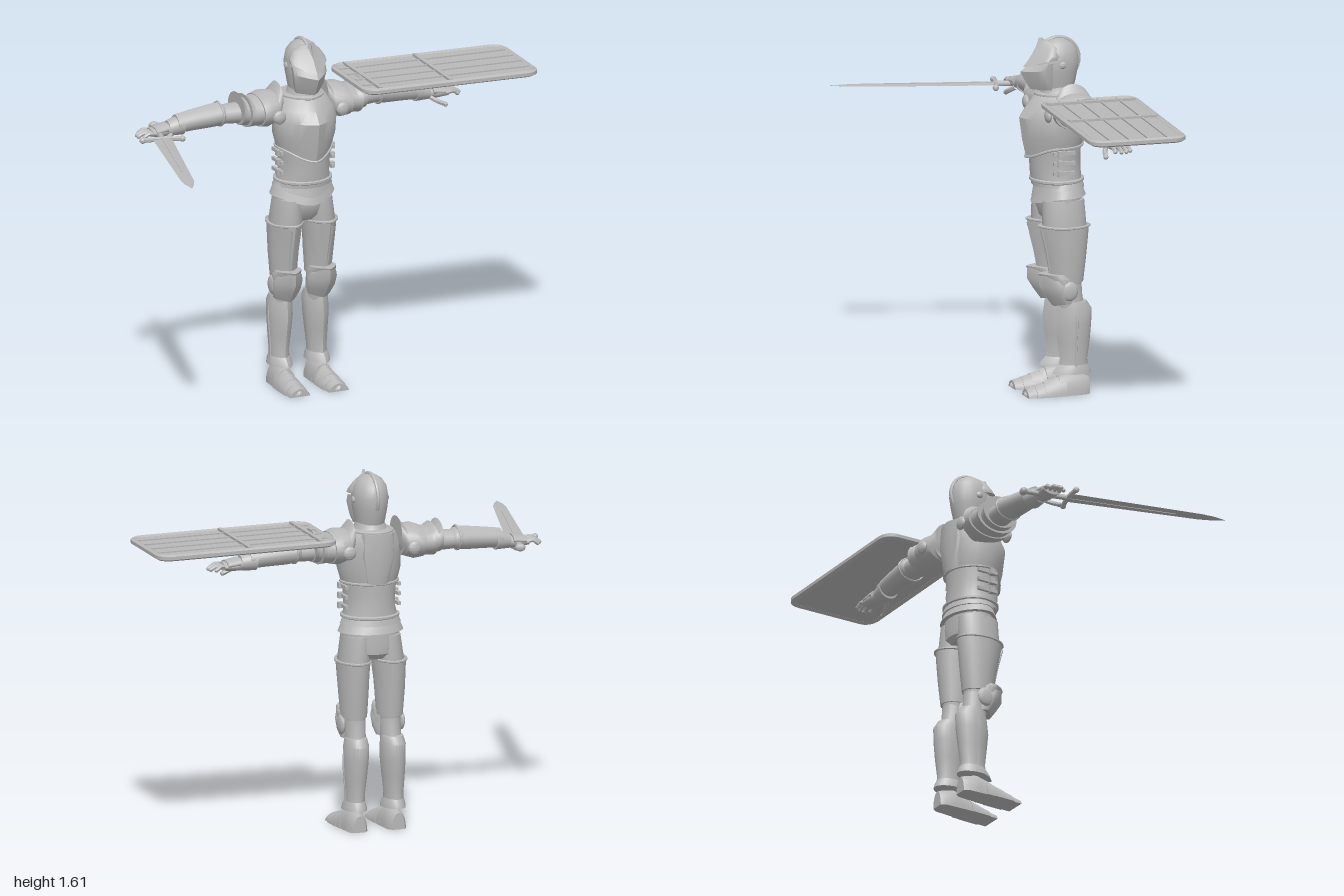
import * as THREE from 'three';
import { toCreasedNormals } from 'three/addons/utils/BufferGeometryUtils.js';

const steel = new THREE.MeshStandardMaterial({ color: 0xb8b8b8 });
steel.name = 'steel';

// One cross-section. Row: [t, centre, half width, front, back, keel, dip].
// t runs along the axis; dip moves the middle of the front along it.
function ring(axis, [t, c, h, f, b, keel = 0, dip = 0], n = 24, flat = false) {
  const mid = flat ? b : (f + b) / 2, pts = [];
  for (let i = 0; i < n; i++) {
    const a = (i / n) * Math.PI * 2, cs = Math.cos(a), sn = Math.sin(a);
    const s = sn > 0 ? THREE.MathUtils.lerp(sn, 1 - Math.abs(cs), keel) : sn;
    const u = c + h * cs, v = mid + (sn > 0 ? (f - mid) * s : (mid - b) * s);
    const w = t - dip * Math.max(0, sn) ** 3;
    pts.push(axis === 'y' ? new THREE.Vector3(u, w, v)
      : axis === 'z' ? new THREE.Vector3(u, v, w) : new THREE.Vector3(w, v, u));
  }
  return pts;
}

// Closed skin over a list of cross-sections, always facing outwards
function loft(axis, rows, n = 24, flat = false) {
  const rings = rows.map(r => ring(axis, r, n, flat)), all = rings.flat(), idx = [];
  for (let k = 0; k < rings.length - 1; k++)
    for (let i = 0; i < n; i++) {
      const a = k * n + i, b = k * n + (i + 1) % n;
      idx.push(a, b, a + n, b, b + n, a + n);
    }
  [0, rings.length - 1].forEach((k, end) => {
    const m = rings[k].reduce((s, p) => s.add(p), new THREE.Vector3()).divideScalar(n);
    const c = all.push(m) - 1;
    for (let i = 0; i < n; i++) {
      const a = k * n + i, b = k * n + (i + 1) % n;
      idx.push(c, ...(end ? [a, b] : [b, a]));
    }
  });
  let vol = 0;
  for (let i = 0; i < idx.length; i += 3)
    vol += all[idx[i]].dot(all[idx[i + 1]].clone().cross(all[idx[i + 2]]));
  if (vol < 0) idx.reverse();
  return new THREE.BufferGeometry().setFromPoints(all).setIndex(idx);
}

const tube = (pts, r, closed = false, seg = 24) =>
  new THREE.TubeGeometry(new THREE.CatmullRomCurve3(pts, closed), seg, r, 6, closed);
const rim = (axis, row, r = 0.006) => tube(ring(axis, row), r, true, 48);
const box = (w, h, d, x, y, z) => new THREE.BoxGeometry(w, h, d).translate(x, y, z);
const ball = (r, x, y, z, sx = 1, sy = 1, sz = 1) =>
  new THREE.SphereGeometry(r, 16, 12).scale(sx, sy, sz).translate(x, y, z);
const V = (x, y, z) => new THREE.Vector3(x, y, z);

function add(group, name, geo) {
  const mesh = new THREE.Mesh(toCreasedNormals(geo, 0.6), steel);
  mesh.name = name;
  group.add(mesh);
}

// Adds a part on the left (+x) and its reflection on the right
function pair(group, name, geo) {
  add(group, 'left ' + name, geo);
  const m = geo.index ? geo.toNonIndexed() : geo.clone(), p = m.attributes.position;
  for (let i = 0; i < p.count; i += 3) {
    const b = V().fromBufferAttribute(p, i + 1), c = V().fromBufferAttribute(p, i + 2);
    p.setXYZ(i + 1, c.x, c.y, c.z);
    p.setXYZ(i + 2, b.x, b.y, b.z);
  }
  add(group, 'right ' + name, m.scale(-1, 1, 1));
}

function buildHelmet(g) {
  add(g, 'helmetSkull', loft('y', [[1.36, 0, .06, -.17, -.31], [1.40, 0, .067, -.15, -.325],
    [1.45, 0, .076, -.14, -.335], [1.50, 0, .081, -.14, -.342], [1.55, 0, .072, -.155, -.332],
    [1.58, 0, .053, -.18, -.308], [1.597, 0, .027, -.21, -.275], [1.602, 0, .003, -.24, -.246]]));
  add(g, 'helmetComb', new THREE.TorusGeometry(.1, .009, 8, 28, Math.PI * 1.15)
    .rotateZ(-.5).rotateY(Math.PI / 2).translate(0, 1.503, -.245));
  // pointed lower visor, then the brow overhanging it
  add(g, 'visor', loft('y', [[1.375, 0, .058, -.118, -.25, .9], [1.41, 0, .07, -.095, -.25, .9],
    [1.468, 0, .08, -.072, -.25, .9, .01], [1.50, 0, .08, -.10, -.25, .9, .02]]));
  add(g, 'visorBrow', loft('y', [[1.512, 0, .086, -.083, -.27, .8, .035],
    [1.53, 0, .085, -.11, -.27, .8, .02], [1.565, 0, .064, -.148, -.26, .8, 0],
    [1.59, 0, .03, -.165, -.24, .8, -.005]]));
  add(g, 'visorPeak', loft('y', [[1.53, 0, .02, -.125, -.19, 1], [1.575, 0, .014, -.148, -.19, 1],
    [1.606, 0, .004, -.158, -.175, 1]], 12));
  pair(g, 'visorPivot', ball(.016, .08, 1.49, -.245, .5));
  add(g, 'gorget', loft('y', [[1.32, 0, .1, -.15, -.35], [1.36, 0, .072, -.165, -.325],
    [1.39, 0, .064, -.165, -.315]]));
}

function buildTorso(g) {
  add(g, 'breastplate', loft('y', [[1.12, 0, .128, -.098, -.352, .35, .05],
    [1.18, 0, .145, -.08, -.364, .35, .03], [1.25, 0, .147, -.066, -.368, .35],
    [1.30, 0, .14, -.10, -.37, .3], [1.345, 0, .108, -.138, -.365, .2], [1.36, 0, .075, -.165, -.35]]));
  add(g, 'breastplateHem', rim('y', [1.12, 0, .13, -.096, -.354, .35, .05]));
  add(g, 'neckRim', rim('y', [1.352, 0, .092, -.145, -.36, .2], .008));
  add(g, 'backPanel', loft('y', [[1.12, 0, .055, -.3, -.362], [1.25, 0, .08, -.3, -.378],
    [1.35, 0, .075, -.3, -.372]], 12));
  add(g, 'waistPlate', loft('y', [[.94, 0, .128, -.13, -.352], [1.0, 0, .116, -.122, -.348],
    [1.06, 0, .117, -.118, -.346], [1.14, 0, .126, -.11, -.35]]));
  // buckled side straps
  for (const y of [1.10, 1.055, 1.01]) {
    pair(g, 'sideStrap', box(.014, .016, .1, .125, y, -.235));
    pair(g, 'strapBuckle', box(.022, .026, .024, .131, y, -.215));
  }
  add(g, 'belt', rim('y', [.965, 0, .126, -.128, -.354], .009));
  [[.97, .128, 0], [.935, .139, .006]].forEach(([y, w, d]) =>
    add(g, 'skirtLame', loft('y', [[y - .04, 0, w + .012, -.128 + d, -.362 - d, .25, .035],
      [y, 0, w - .006, -.138, -.352, .2, .02]])));
  add(g, 'hips', loft('y', [[.775, 0, .07, -.19, -.33], [.80, 0, .115, -.165, -.35],
    [.85, 0, .136, -.15, -.352], [.94, 0, .125, -.145, -.345]]));
}

function buildLegs(g) {
  pair(g, 'thigh', loft('y', [[.48, .083, .046, -.2, -.325], [.6, .084, .058, -.18, -.34],
    [.76, .08, .07, -.15, -.352], [.88, .07, .062, -.15, -.345]]));
  pair(g, 'thighPlate', loft('y', [[.51, .085, .058, -.185, -.335, .3], [.62, .086, .066, -.162, -.348, .4],
    [.70, .086, .07, -.142, -.356, .4], [.765, .085, .073, -.13, -.362, .3, -.006]]));
  pair(g, 'thighPlateRim', rim('y', [.763, .085, .074, -.129, -.363, .3, -.006]));
  pair(g, 'thighRidge', tube([V(.1, .75, -.14), V(.096, .65, -.165), V(.09, .54, -.185)], .006));
  pair(g, 'kneeLame', loft('y', [[.47, .084, .062, -.17, -.3, .6], [.53, .085, .066, -.14, -.3, .6],
    [.55, .085, .058, -.125, -.28, .6, -.003]]));
  pair(g, 'kneeCap', loft('y', [[.415, .084, .055, -.195, -.29, .6, .012], [.45, .084, .066, -.16, -.29, .7],
    [.495, .084, .069, -.132, -.29, .7], [.525, .084, .06, -.13, -.28, .6, -.025]]));
  pair(g, 'kneeWing', ball(.04, .142, .475, -.255, .35, 1.1, 1));
  pair(g, 'kneeJoint', loft('y', [[.38, .085, .046, -.225, -.345], [.44, .084, .047, -.215, -.332],
    [.5, .084, .047, -.205, -.328]]));
  pair(g, 'greave', loft('y', [[.1, .092, .044, -.212, -.358, .4], [.16, .092, .043, -.226, -.352, .4],
    [.24, .09, .05, -.215, -.364, .4], [.32, .088, .056, -.205, -.372, .4],
    [.385, .087, .056, -.213, -.374, .4], [.42, .086, .049, -.225, -.352, .4, -.03]]));
  pair(g, 'greaveSideSeam', tube([V(.137, .39, -.29), V(.144, .32, -.29), V(.136, .2, -.288), V(.135, .12, -.288)], .005));
  pair(g, 'ankleFlare', loft('y', [[.095, .092, .054, -.19, -.37, .4], [.112, .092, .052, -.198, -.366, .4],
    [.135, .092, .045, -.22, -.354, .4]]));
  // sabaton: heel cup and overlapping lames ending in a pointed toe
  pair(g, 'heelPlate', loft('z', [[-.358, .092, .03, .075, 0], [-.335, .092, .044, .085, 0],
    [-.28, .092, .047, .1, 0], [-.215, .092, .05, .085, 0]], 24, true));
  const lames = [[-.24, .052, .092], [-.195, .055, .078], [-.155, .055, .064], [-.115, .049, .052]];
  for (const [z, w, h] of lames)
    pair(g, 'footLame', loft('z', [[z - .005, .094, w, h, 0, .2], [z + .05, .095, w, h - .016, 0, .2]], 24, true));
  pair(g, 'toeCap', loft('z', [[-.1, .096, .046, .046, 0, .3], [-.07, .097, .026, .032, .004, .3],
    [-.055, .097, .005, .018, .01]], 24, true));
}

function buildArms(g) {
  pair(g, 'upperArm', loft('x', [[.12, -.28, .07, 1.35, 1.23], [.25, -.285, .06, 1.338, 1.238],
    [.35, -.295, .056, 1.33, 1.243], [.43, -.298, .05, 1.33, 1.248]]));
  pair(g, 'shoulderPlate', loft('x', [[.11, -.28, .075, 1.41, 1.27], [.135, -.28, .1, 1.372, 1.23],
    [.18, -.28, .118, 1.375, 1.215], [.215, -.28, .116, 1.362, 1.22]]));
  pair(g, 'shoulderLame', loft('x', [[.2, -.28, .106, 1.36, 1.225], [.25, -.282, .1, 1.355, 1.225],
    [.272, -.282, .104, 1.372, 1.222]]));
  pair(g, 'armLame', loft('x', [[.25, -.284, .085, 1.35, 1.23], [.285, -.285, .084, 1.358, 1.232],
    [.303, -.285, .09, 1.384, 1.235]]));
  for (const z of [-.15, -.395]) pair(g, 'armpitDisc', ball(.031, .155, 1.283, z, 1, 1, .5));
  pair(g, 'elbowCap', ball(.06, .39, 1.29, -.3, .7, .82, 1.05));
  pair(g, 'forearmPlate', loft('x', [[.385, -.298, .064, 1.346, 1.24, .3], [.43, -.298, .06, 1.342, 1.236, .3],
    [.52, -.297, .054, 1.33, 1.234, .3], [.60, -.295, .045, 1.318, 1.23, .3]]));
  pair(g, 'forearmRim', rim('x', [.388, -.298, .065, 1.347, 1.239, .3], .005));
  pair(g, 'gauntletCuff', loft('x', [[.57, -.296, .05, 1.315, 1.222], [.64, -.295, .037, 1.292, 1.224]]));
  pair(g, 'palm', loft('x', [[.62, -.295, .034, 1.285, 1.228], [.67, -.295, .043, 1.278, 1.226],
    [.725, -.293, .043, 1.268, 1.232]]));
  pair(g, 'knuckleGuard', loft('x', [[.65, -.295, .044, 1.288, 1.24], [.71, -.293, .047, 1.276, 1.238]]));
  [.765, .782, .785, .768].forEach((x, i) => {
    const z = -.328 + i * .0235;
    pair(g, 'finger', tube([V(.71, 1.252, z + .002), V(.745, 1.256, z), V(x - .012, 1.25, z - .002), V(x, 1.242, z - .002)], .0095, false, 8));
    pair(g, 'fingertip', ball(.0095, x, 1.242, z - .002));
  });
  pair(g, 'thumb', tube([V(.635, 1.24, -.262), V(.665, 1.222, -.245), V(.7, 1.205, -.238)], .011, false, 8));
  pair(g, 'thumbTip', ball(.011, .7, 1.205, -.238));
}

function buildSword() {
  const g = new THREE.Group();
  g.name = 'sword';
  add(g, 'blade', loft('z', [[0, 0, .043, .006, -.006], [.62, 0, .029, .005, -.005],
    [.68, 0, .02, .004, -.004], [.735, 0, .001, .001, -.001]], 4));
  add(g, 'bladeRidge', box(.01, .014, .5, 0, 0, .25));
  add(g, 'crossguard', tube([V(-.09, 0, .006), V(-.04, 0, 0), V(.04, 0, 0), V(.09, 0, .006)], .011));
  for (const s of [-1, 1]) add(g, 'guardEnd', ball(.014, s * .09, 0, .006));
  add(g, 'grip', new THREE.CylinderGeometry(.013, .011, .2, 12).rotateX(Math.PI / 2).translate(0, 0, -.1));
  add(g, 'pommel', ball(.024, 0, 0, -.21, 1, .75, .75));
  g.position.set(-.81, 1.245, -.195);
  g.rotation.y = -.262;
  return g;
}

function buildShield() {
  const g = new THREE.Group(), w = .41, d = .21, r = .05;
  g.name = 'shield';
  // rounded rectangular board and raised rim
  const s = new THREE.Shape();
  s.absarc(w - r, d - r, r, 0, Math.PI / 2).absarc(r - w, d - r, r, Math.PI / 2, Math.PI)
    .absarc(r - w, r - d, r, Math.PI, Math.PI * 1.5).absarc(w - r, r - d, r, Math.PI * 1.5, Math.PI * 2);
  s.closePath();
  add(g, 'shieldBoard', new THREE.ExtrudeGeometry(s, { depth: .014, bevelEnabled: false, curveSegments: 8 })
    .rotateX(-Math.PI / 2).translate(0, -.007, 0));
  add(g, 'shieldRim', tube(s.getSpacedPoints(90).slice(0, -1).map(p => V(p.x, 0, p.y)), .015, true, 120));
  for (const z of [-.132, -.044, .044, .132]) add(g, 'shieldRib', box(.8, .008, .009, 0, .009, z));
  for (const x of [-.345, -.008]) add(g, 'shieldCrossbar', box(.018, .014, .41, x, .011, 0));
  g.position.set(.567, 1.357, -.285);
  g.rotation.set(0, -.032, -.012);
  return g;
}

export function createModel() {
  const model = new THREE.Group(), body = new THREE.Group();
  model.name = 'armouredKnight';
  body.name = 'armour';
  [buildHelmet, buildTorso, buildLegs, buildArms].forEach(build => build(body));
  body.position.x = -.1;
  model.add(body, buildSword(), buildShield());
  return model;
}
